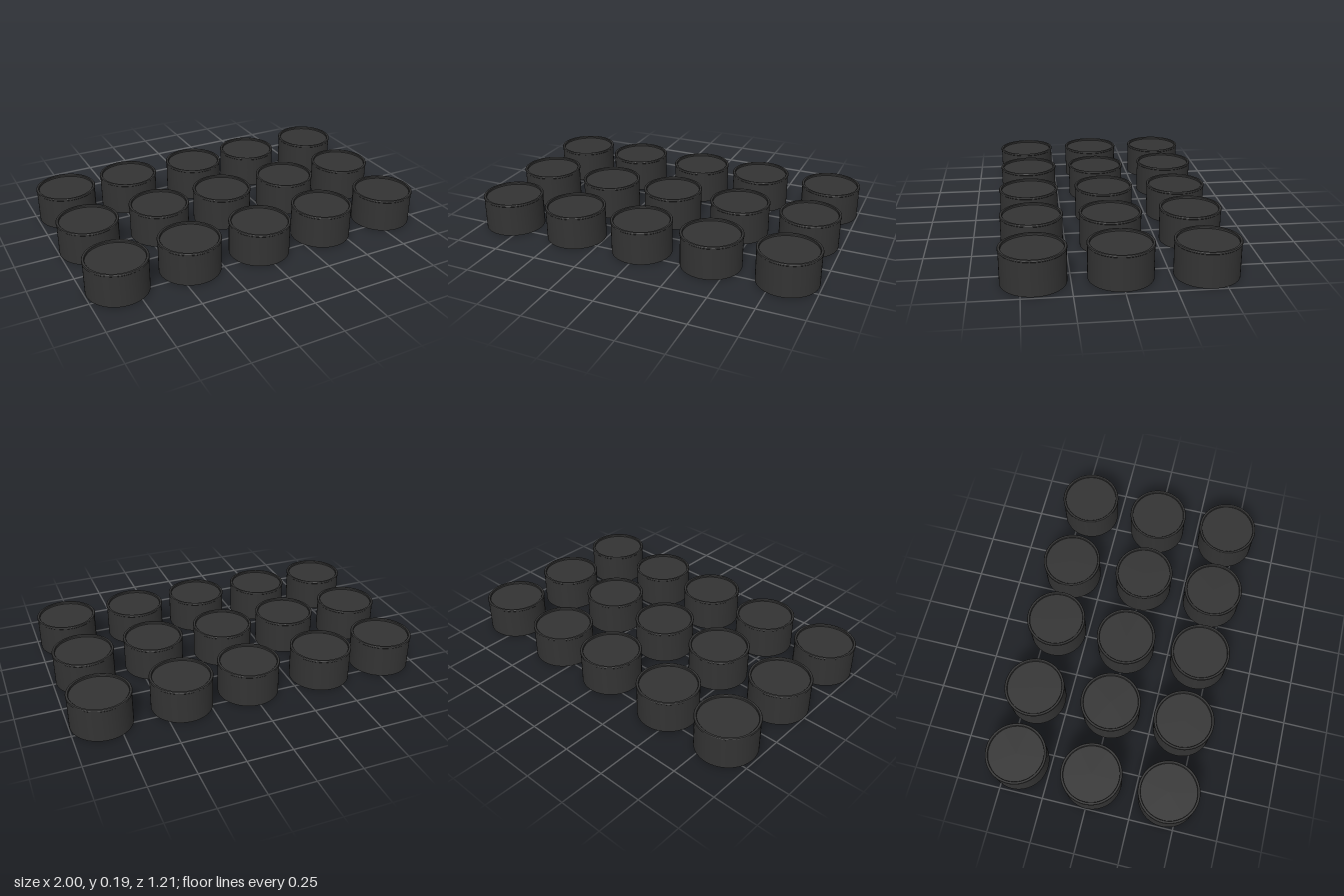
import * as THREE from 'three';
import { toCreasedNormals } from 'three/addons/utils/BufferGeometryUtils.js';

// Hollow cap profile: underside, inner wall, outer wall, lip, recessed top
const PROFILE = [
  [0, 0.174], [0.163, 0.174], [0.164, 0], [0.167, 0],
  [0.167, 0.178], [0.17, 0.181], [0.17, 0.187], [0.168, 0.19],
  [0.157, 0.19], [0.155, 0.188], [0.155, 0.178], [0, 0.178],
];

// Slightly uneven grid of cap centres, [x, z], from back row to front row
const ROWS = [
  [[-0.82, -0.432], [-0.43, -0.437], [0.003, -0.429], [0.39, -0.437], [0.828, -0.432]],
  [[-0.83, 0], [-0.412, 0.004], [-0.01, -0.004], [0.41, 0.005], [0.815, 0]],
  [[-0.826, 0.433], [-0.418, 0.428], [-0.003, 0.436], [0.4, 0.43], [0.82, 0.434]],
];

export function createModel() {
  const model = new THREE.Group();
  model.name = 'capSet';

  const points = PROFILE.map(([r, y]) => new THREE.Vector2(r, y));
  const geometry = toCreasedNormals(new THREE.LatheGeometry(points, 64), 0.5);
  const material = new THREE.MeshStandardMaterial({ color: 0x333333 });

  ROWS.forEach((row, r) => {
    const group = new THREE.Group();
    group.name = ['backRow', 'middleRow', 'frontRow'][r];
    row.forEach(([x, z], i) => {
      const cap = new THREE.Mesh(geometry, material);
      cap.name = `cap${r * row.length + i + 1}`;
      cap.position.set(x, 0, z);
      group.add(cap);
    });
    model.add(group);
  });
  return model;
}
